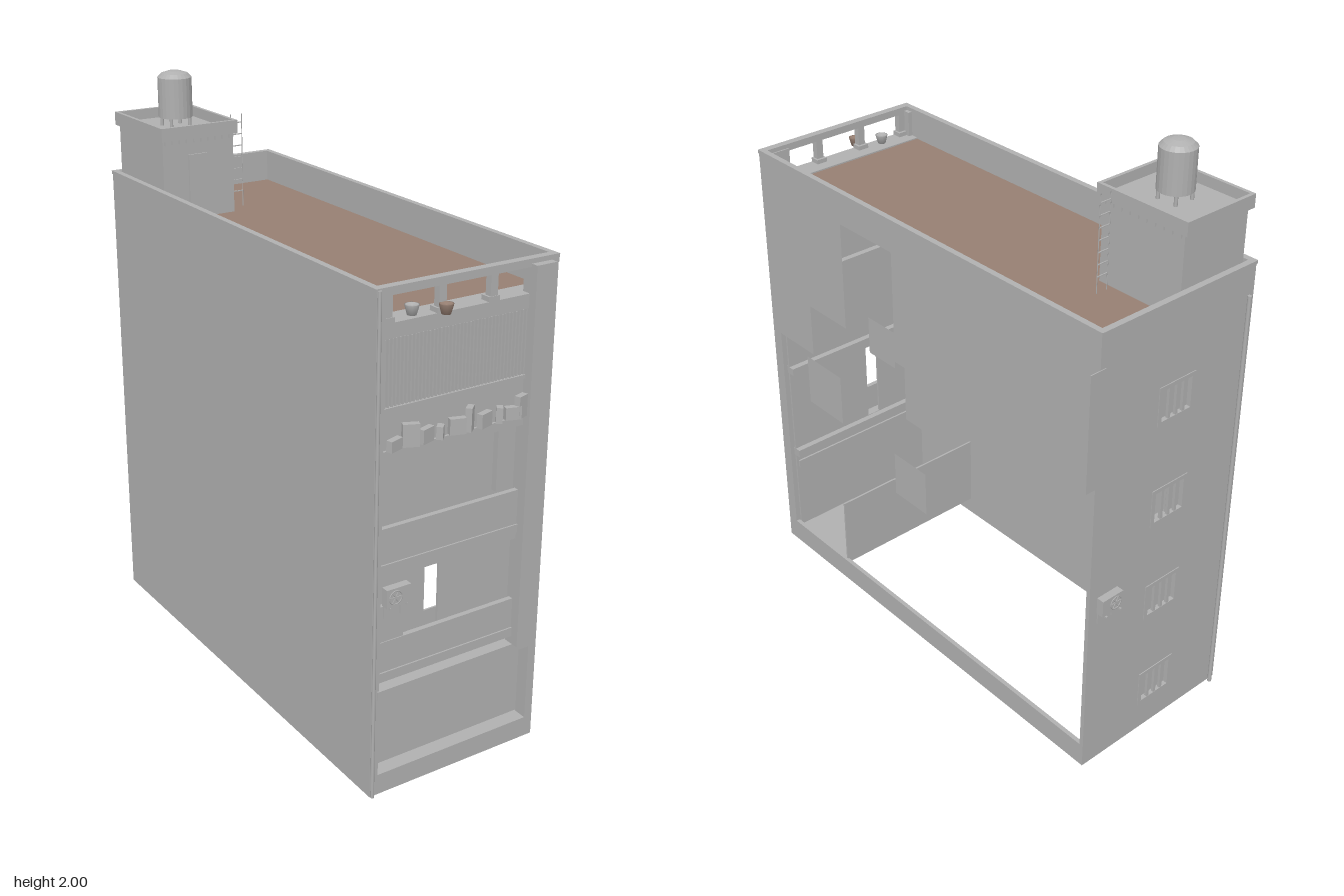
import * as THREE from 'three';

const grey = new THREE.MeshStandardMaterial({ color: 0xb0b0b0, side: THREE.DoubleSide });
grey.name = 'concrete grey';
const brown = new THREE.MeshStandardMaterial({ color: 0x967f72, side: THREE.DoubleSide });
brown.name = 'roof brown';

export function createModel() {
  const root = new THREE.Group();
  root.name = 'apartmentBlock';
  let parent = root;

  const group = (name) => {
    parent = new THREE.Group();
    parent.name = name;
    root.add(parent);
  };
  const add = (name, geo, mat = grey) => {
    const m = new THREE.Mesh(geo, mat);
    m.name = name;
    parent.add(m);
    return m;
  };
  // Box given by its bounds
  const box = (name, x0, x1, y0, y1, z0, z1, mat) => {
    const m = add(name, new THREE.BoxGeometry(x1 - x0, y1 - y0, z1 - z0), mat);
    m.position.set((x0 + x1) / 2, (y0 + y1) / 2, (z0 + z1) / 2);
    return m;
  };
  const rod = (name, x, z, y0, y1, r) => {
    const m = add(name, new THREE.CylinderGeometry(r, r, y1 - y0, 8));
    m.position.set(x, (y0 + y1) / 2, z);
    return m;
  };
  const rect = (path, x0, x1, y0, y1) =>
    path.moveTo(x0, y0).lineTo(x1, y0).lineTo(x1, y1).lineTo(x0, y1).closePath();
  // Upright wall in the xy plane with rectangular holes
  const wall = (name, b, holes, z, depth) => {
    const s = rect(new THREE.Shape(), ...b);
    holes.forEach((h) => s.holes.push(rect(new THREE.Path(), ...h)));
    add(name, new THREE.ExtrudeGeometry(s, { depth, bevelEnabled: false })).position.z = z;
  };

  // Shell: closed left-hand wall, open +x side with upper and lower bands
  group('shell');
  box('sideWall', -0.34, -0.325, 0, 1.625, -0.82, 0.82);
  box('baseBand', 0.285, 0.3, 0, 0.085, -0.82, 0.82);
  box('frontBase', -0.325, 0.3, 0, 0.07, 0.805, 0.82);
  box('parapetBand', 0.285, 0.3, 1.52, 1.625, -0.82, 0.82);
  box('roof', -0.325, 0.285, 1.515, 1.525, -0.805, 0.742, brown);
  box('frontRoofLedge', -0.325, 0.285, 1.485, 1.53, 0.742, 0.82);
  box('copingLeft', -0.343, -0.322, 1.623, 1.635, -0.822, 0.822);
  box('copingRight', 0.282, 0.302, 1.623, 1.635, -0.822, 0.822);
  box('copingBack', -0.34, 0.3, 1.623, 1.635, -0.823, -0.802);

  // Back wall with four barred windows
  group('back');
  const windowY = [0.175, 0.545, 0.915, 1.285];
  wall('backWall', [-0.325, 0.3, 0, 1.625],
    windowY.map((y) => [-0.095, 0.04, y - 0.06, y + 0.06]), -0.82, 0.015);
  windowY.forEach((y, i) => {
    wall('windowFrame', [-0.105, 0.05, y - 0.068, y + 0.068],
      [[-0.09, 0.035, y - 0.054, y + 0.054]], -0.823, 0.028);
    for (const x of [-0.06, -0.03, 0.002]) box('windowBar', x - 0.005, x + 0.005, y - 0.06, y + 0.06, -0.822, -0.812);
    if (i !== 2) box('windowPane', -0.095, 0.04, y - 0.06, y + 0.06, -0.807, -0.801);
    else box('windowPane', -0.095, -0.03, y - 0.06, y + 0.06, -0.807, -0.801);
  });
  box('cornerSheet', 0.285, 0.345, 1.12, 1.52, -0.828, -0.825);
  rod('backDrainpipe', -0.312, -0.83, 0, 1.53, 0.007);
  rod('frontDrainpipe', -0.333, 0.825, 0, 1.63, 0.006);

  // Remnant panels hanging in the open side plane, listed as z, y corners
  group('sidePanels');
  const panels = [
    [[0.78, 1.52], [0.78, 0.935], [0.575, 0.935], [0.575, 1.13], [0.37, 1.13], [0.37, 1.52]],
    [[0.105, 1.52], [0.105, 1.23], [0.24, 1.23], [0.24, 1.095], [0.105, 1.095], [0.105, 1.12],
      [0.055, 1.12], [0.055, 0.92], [-0.165, 0.92], [-0.165, 1.52]],
    [[-0.255, 1.52], [-0.255, 1.19], [-0.4, 1.19], [-0.4, 1.15], [-0.55, 1.15], [-0.55, 1.52]],
    [[0.615, 0.91], [0.615, 0.72], [0.42, 0.72], [0.42, 0.91]],
    [[0.125, 0.745], [0.125, 0.58], [-0.04, 0.58], [-0.04, 0.745]],
    [[-0.275, 0.98], [-0.275, 0.89], [-0.37, 0.89], [-0.37, 0.98]],
  ];
  for (const p of panels) {
    const s = new THREE.Shape(p.map(([z, y]) => new THREE.Vector2(-z, y)));
    const m = add('sidePanel', new THREE.ShapeGeometry(s));
    m.rotation.y = Math.PI / 2;
    m.position.x = 0.3;
  }

  // Street front: recessed wall, slabs, balcony fronts and pillar
  group('front');
  wall('recessedWall', [-0.325, 0.285, 0.07, 1.48], [[-0.115, -0.062, 0.43, 0.735]], 0.762, 0.008);
  box('leftPost', -0.325, -0.31, 0.07, 1.62, 0.77, 0.82);
  box('rightPost', 0.27, 0.3, 0.07, 1.62, 0.775, 0.82);
  box('pillar', 0.197, 0.272, 0.37, 1.62, 0.79, 0.847);
  box('shopCanopy', -0.318, 0.277, 0.34, 0.37, 0.755, 0.825);
  for (const [y0, y1] of [[0.397, 0.428], [0.762, 0.79], [1.12, 1.15]])
    box('floorSlab', -0.325, 0.285, y0, y1, 0.74, 0.82);
  box('lowerBalconyFront', -0.31, 0.2, 0.428, 0.53, 0.798, 0.815);
  box('lowerBalconyScreen', -0.31, -0.22, 0.53, 0.65, 0.798, 0.812);
  box('lowerLintel', -0.31, 0.2, 0.74, 0.762, 0.77, 0.815);
  box('middleBalconyFront', -0.31, 0.2, 0.79, 0.905, 0.798, 0.815);
  box('middlePartition', 0.13, 0.14, 0.905, 1.12, 0.77, 0.79);
  box('upperBalconyFront', -0.31, 0.2, 1.15, 1.27, 0.795, 0.812);
  box('upperRail', -0.31, 0.2, 1.268, 1.28, 0.795, 0.82);
  for (let i = 0; i < 40; i++) {
    const x = -0.305 + i * 0.0128;
    box('shutterSlat', x - 0.003, x + 0.003, 1.28, 1.482, 0.79, 0.815);
  }

  // Planters hung along the upper balcony: x, width, height, turn
  for (const [x, w, h, a] of [[-0.28, 0.05, 0.035, 0.3], [-0.225, 0.05, 0.07, -0.4], [-0.17, 0.05, 0.045, 0.3],
    [-0.12, 0.03, 0.04, 0.8], [-0.06, 0.05, 0.05, -0.3], [-0.015, 0.035, 0.075, 0.7],
    [0.04, 0.05, 0.045, 0.3], [0.095, 0.025, 0.05, 0.9], [0.145, 0.05, 0.04, -0.3], [0.175, 0.04, 0.07, 0.3]]) {
    const m = box('balconyPlanter', x - w / 2, x + w / 2, 1.155, 1.155 + h, 0.822, 0.842);
    m.rotation.y = a;
  }

  // Roof-edge beam on short posts, with pots
  group('roofEdge');
  box('topBeam', -0.34, 0.3, 1.61, 1.635, 0.795, 0.822);
  for (const x of [-0.298, -0.115, 0.067, 0.25]) {
    box('edgePost', x - 0.013, x + 0.013, 1.53, 1.61, 0.795, 0.818);
    box('edgePostFoot', x - 0.02, x + 0.02, 1.53, 1.545, 0.785, 0.82);
  }
  const potShape = [[0, 0], [0.014, 0], [0.022, 0.03], [0.018, 0.03], [0, 0.025]].map((p) => new THREE.Vector2(...p));
  for (const [x, mat] of [[-0.2, grey], [-0.115, brown]])
    add('roofPot', new THREE.LatheGeometry(potShape, 12), mat).position.set(x, 1.53, mat === brown ? 0.84 - 0.005 : 0.79);

  // Ground-floor shop room
  group('shopRoom');
  box('shopFloor', -0.325, 0.285, 0.065, 0.07, 0.455, 0.805);
  box('shopBackWall', -0.325, 0.29, 0.07, 0.34, 0.455, 0.462);

  // Stair tower with rimmed top, door and ladder
  group('stairTower');
  box('towerBody', -0.32, -0.052, 1.525, 1.805, -0.785, -0.462);
  box('rimFront', -0.33, -0.043, 1.8, 1.845, -0.457, -0.445);
  box('rimBack', -0.33, -0.043, 1.8, 1.845, -0.8, -0.788);
  box('rimLeft', -0.33, -0.318, 1.8, 1.845, -0.8, -0.445);
  box('rimRight', -0.055, -0.043, 1.8, 1.845, -0.8, -0.445);
  box('towerTop', -0.325, -0.048, 1.8, 1.81, -0.795, -0.45);
  for (let i = 0; i < 10; i++) {
    const x = -0.31 + i * 0.027, z = -0.77 + i * 0.033;
    box('frontDentil', x - 0.004, x + 0.004, 1.785, 1.8, -0.462, -0.452);
    box('sideDentil', -0.052, -0.046, 1.785, 1.8, z - 0.004, z + 0.004);
  }
  box('towerDoor', -0.225, -0.155, 1.525, 1.745, -0.462, -0.456);
  for (const x of [-0.03, 0.013]) rod('ladderRail', x, -0.515, 1.525, 1.85, 0.0015);
  for (let i = 0; i < 7; i++) box('ladderRung', -0.03, 0.013, 1.579 + i * 0.04, 1.582 + i * 0.04, -0.517, -0.513);

  // Water tank
  group('waterTank');
  const tankProfile = [[0, 0], [0.058, 0], [0.058, 0.135], [0.045, 0.148], [0.02, 0.156], [0, 0.157]];
  const tank = add('tankBody', new THREE.LatheGeometry(tankProfile.map((p) => new THREE.Vector2(...p)), 24)
    .toNonIndexed());
  tank.geometry.computeVertexNormals();
  tank.position.set(-0.185, 1.843, -0.622);
  for (const sx of [-1, 1]) for (const sz of [-1, 1])
    rod('tankLeg', -0.185 + sx * 0.035, -0.622 + sz * 0.035, 1.81, 1.845, 0.006);

  // Air conditioners on brackets; dir is the outward z direction
  const airCon = (x, y, z, dir) => {
    group('airConditioner');
    box('airConCase', x - 0.043, x + 0.043, y - 0.03, y + 0.03, z - 0.013, z + 0.013);
    const ring = add('fanRing', new THREE.TorusGeometry(0.022, 0.002, 6, 20));
    ring.position.set(x - 0.012, y, z + dir * 0.014);
    for (let i = 0; i < 3; i++) {
      const b = box('fanBlade', x - 0.033, x + 0.009, y - 0.002, y + 0.002, z + dir * 0.014 - 0.001, z + dir * 0.014 + 0.001);
      b.rotation.z = (i * Math.PI) / 3;
    }
    for (const s of [-0.03, 0.03]) {
      box('bracketArm', x + s - 0.003, x + s + 0.003, y - 0.036, y - 0.03, z - 0.02, z + 0.014);
      box('bracketLeg', x + s - 0.003, x + s + 0.003, y - 0.08, y - 0.03, z - dir * 0.018 - 0.002, z - dir * 0.018 + 0.002);
    }
  };
  airCon(-0.262, 0.69, 0.832, 1);
  airCon(0.235, 0.672, -0.843, -1);

  return root;
}
